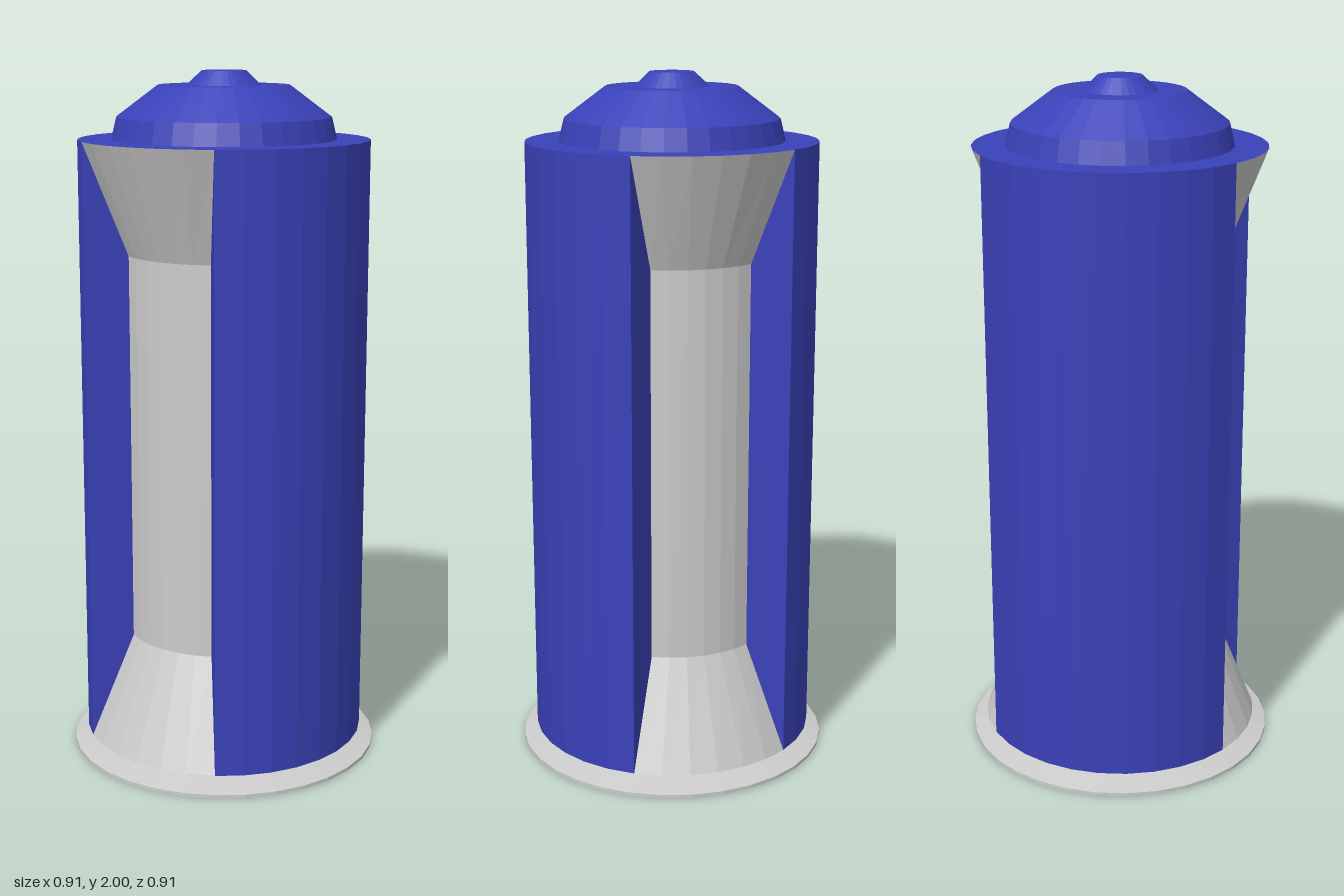
import * as THREE from 'three';

const SIDES = 32;
const R = 0.415;                    // body radius
const Y0 = 0.05, Y1 = 1.81;         // body bottom and top
const HALF = 3 * 2 * Math.PI / SIDES; // half angle of each side recess

const blue = new THREE.MeshStandardMaterial({ color: 0x3a41b8, flatShading: true, side: THREE.DoubleSide });
const grey = new THREE.MeshStandardMaterial({ color: 0xcccccc, flatShading: true, side: THREE.DoubleSide });

// Recess cross-sections: height, radius, half angle
const sections = [
  [Y0, R, HALF],
  [0.36, 0.29, 0.528],
  [1.49, 0.29, 0.528],
  [Y1, R, HALF],
];

const arcPoint = ([y, r, half], t) => [r * Math.cos(half * t), y, r * Math.sin(half * t)];

function buildGeometry(positions, index) {
  const g = new THREE.BufferGeometry();
  g.setAttribute('position', new THREE.Float32BufferAttribute(positions.flat(), 3));
  g.setIndex(index);
  g.computeVertexNormals();
  return g;
}

// Waisted channel lofted through the sections
function recessGeometry() {
  const n = 6, points = [], index = [];
  for (const s of sections) {
    for (let j = 0; j <= n; j++) points.push(arcPoint(s, -1 + 2 * j / n));
  }
  for (let i = 0; i < sections.length - 1; i++) {
    for (let j = 0; j < n; j++) {
      const a = i * (n + 1) + j, b = a + n + 1;
      index.push(a, b, a + 1, b, b + 1, a + 1);
    }
  }
  return buildGeometry(points, index);
}

// Flat wall between the body surface and the channel
function wallGeometry(sign) {
  const points = sections.map((s) => arcPoint(s, sign));
  return buildGeometry(points, sign > 0 ? [0, 1, 2, 0, 2, 3] : [0, 2, 1, 0, 3, 2]);
}

function lathe(profile) {
  return new THREE.LatheGeometry(profile.map(([x, y]) => new THREE.Vector2(x, y)), SIDES);
}

export function createModel() {
  const model = new THREE.Group();
  model.name = 'canister';

  const add = (name, geometry, material, parent = model) => {
    const mesh = new THREE.Mesh(geometry, material);
    mesh.name = name;
    parent.add(mesh);
    return mesh;
  };

  // Flared foot plate with a short neck
  add('base', lathe([
    [0, 0], [0.455, 0], [0.455, 0.01], [0.37, 0.03], [0.385, 0.035], [0.385, Y0],
  ]), grey);

  // Stepped cap
  add('cap', lathe([
    [0.32, Y1], [0.305, 1.872], [0.187, 1.96], [0.105, 1.96], [0.063, 2], [0, 2],
  ]), blue);

  // Flat body ends
  for (const [name, y, turn] of [['bodyTop', Y1, -1], ['bodyBottom', Y0, 1]]) {
    const disc = add(name, new THREE.CircleGeometry(R, SIDES), blue);
    disc.rotation.x = turn * Math.PI / 2;
    disc.position.y = y;
  }

  // Front and back shells
  const arc = Math.PI - 2 * HALF;
  ['frontShell', 'backShell'].forEach((name, i) => {
    const shell = add(name, new THREE.CylinderGeometry(
      R, R, Y1 - Y0, SIDES / 2 - 6, 1, true, i * Math.PI - arc / 2, arc), blue);
    shell.position.y = (Y0 + Y1) / 2;
  });

  // Side recesses with their walls
  ['leftRecess', 'rightRecess'].forEach((name, i) => {
    const group = new THREE.Group();
    group.name = name;
    group.rotation.y = i * Math.PI;
    add('channel', recessGeometry(), grey, group);
    add('wallA', wallGeometry(1), blue, group);
    add('wallB', wallGeometry(-1), blue, group);
    model.add(group);
  });

  return model;
}
